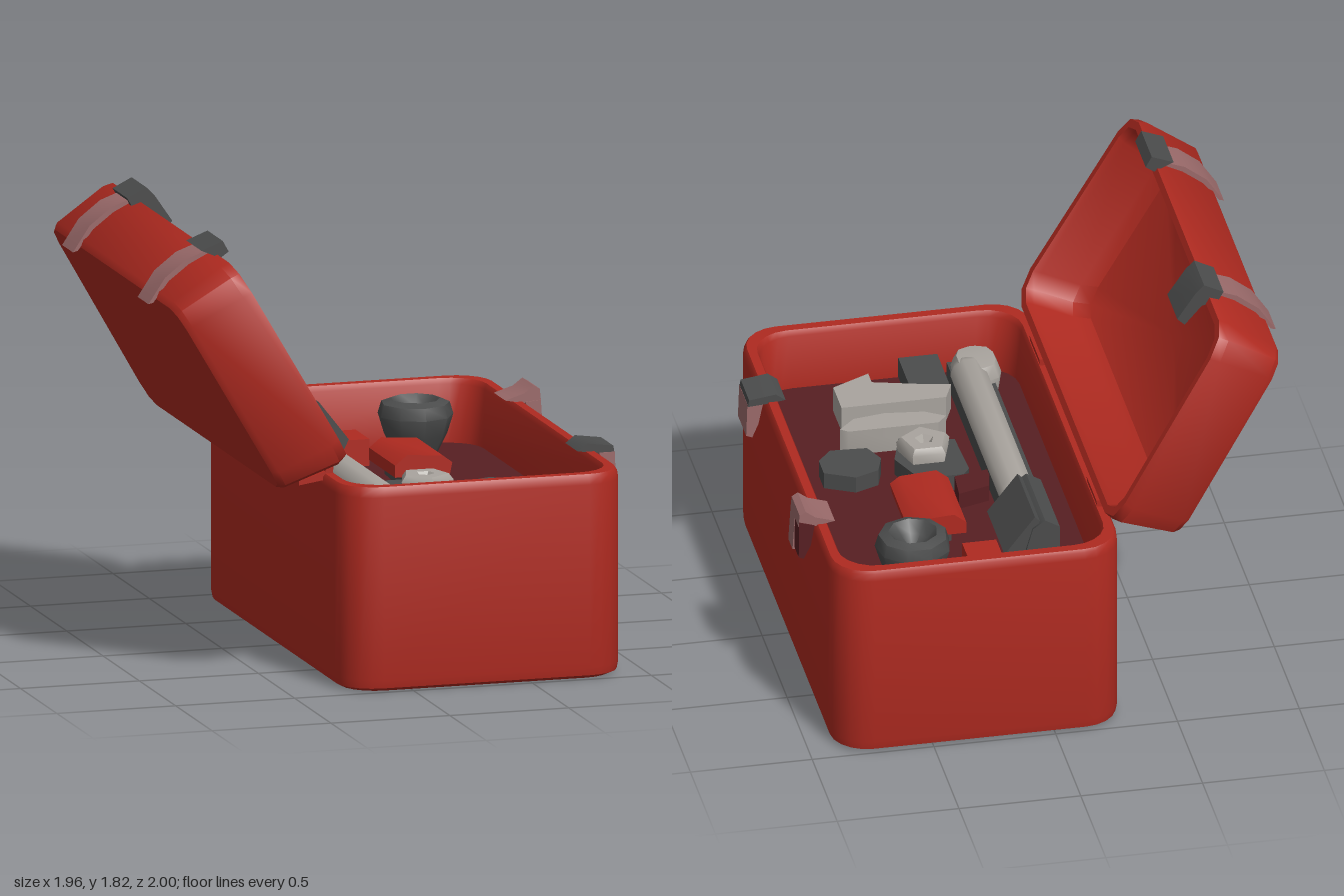
import * as THREE from 'three';
import { toCreasedNormals, mergeVertices } from 'three/addons/utils/BufferGeometryUtils.js';

const mat = (name, color) => {
  const m = new THREE.MeshStandardMaterial({ color });
  m.name = name;
  return m;
};

export function createModel() {
  const root = new THREE.Group();
  root.name = 'openToolbox';
  const red = mat('red', 0xaf2a20), maroon = mat('maroon', 0x571f22), pink = mat('dustyPink', 0x9a6a6a);
  const dark = mat('darkGrey', 0x4b4c4c), light = mat('lightGrey', 0xa9a49e);

  const add = (name, geo, material, pos = [0, 0, 0], rot = [0, 0, 0]) => {
    const m = new THREE.Mesh(toCreasedNormals(geo, 0.8), material);
    m.name = name;
    m.position.set(...pos);
    m.rotation.set(...rot);
    root.add(m);
  };

  // Skin over rounded rectangles: each ring is [width, length, radius, y, xShift]; taper widens z along x
  const loft = (rings, seg, taper = 0) => {
    const pos = [], idx = [], n = 4 * (seg + 1);
    for (const [w, l, r, y, shift = 0] of rings) {
      for (let c = 0; c < 4; c++) {
        const sx = c === 0 || c === 3 ? 1 : -1, sz = c < 2 ? 1 : -1;
        for (let k = 0; k <= seg; k++) {
          const t = (c + k / seg) * Math.PI / 2;
          const x = shift + sx * (w / 2 - r) + r * Math.cos(t);
          pos.push(x, y, (sz * (l / 2 - r) + r * Math.sin(t)) * (1 + taper * (x - 0.4)));
        }
      }
    }
    for (let i = 0; i < rings.length - 1; i++) {
      for (let j = 0; j < n; j++) {
        const a = i * n + j, b = i * n + (j + 1) % n;
        idx.push(a, a + n, b, b, a + n, b + n);
      }
    }
    const g = new THREE.BufferGeometry();
    g.setAttribute('position', new THREE.Float32BufferAttribute(pos, 3));
    g.setIndex(idx);
    return g;
  };

  // Side profile in x,y pulled along z
  const profile = (pts, z0, z1) => {
    const s = new THREE.Shape(pts.map(p => new THREE.Vector2(...p)));
    return new THREE.ExtrudeGeometry(s, { depth: z1 - z0, bevelEnabled: false }).translate(0, 0, z0);
  };
  // Outline in x,z raised from y0 to y1
  const slab = (pts, y0, y1) => {
    const s = new THREE.Shape(pts.map(([x, z]) => new THREE.Vector2(x, -z)));
    return new THREE.ExtrudeGeometry(s, { depth: y1 - y0, bevelEnabled: false }).rotateX(-Math.PI / 2).translate(0, y0, 0);
  };
  const box = (x0, x1, y0, y1, z0, z1) =>
    new THREE.BoxGeometry(x1 - x0, y1 - y0, z1 - z0).translate((x0 + x1) / 2, (y0 + y1) / 2, (z0 + z1) / 2);
  const turned = (pts, sides) =>
    mergeVertices(new THREE.LatheGeometry(pts.map(p => new THREE.Vector2(...p)), sides));

  // Box body with rolled rim
  const cx = 0.31, floorY = 0.58;
  add('boxBody', loft([
    [0, 0, 0, 0], [1.12, 1.93, 0.14, 0], [1.17, 1.985, 0.15, 0.015], [1.185, 2, 0.16, 0.05],
    [1.185, 2, 0.16, 0.8], [1.178, 1.99, 0.16, 0.83], [1.16, 1.975, 0.15, 0.842],
    [1.09, 1.895, 0.15, 0.842], [1.07, 1.87, 0.15, 0.82], [1.055, 1.86, 0.15, floorY],
  ], 5), red, [cx, 0, 0]);
  add('boxFloor', loft([[1.065, 1.87, 0.15, floorY], [0, 0, 0, floorY]], 3), maroon, [cx, 0, 0]);

  // Open lid, leaning back, a thin-walled shell with a deep hollow
  add('lid', loft([
    [0, 0, 0, -0.3, -0.02], [0.87, 1.82, 0.09, -0.3, -0.02], [0.91, 1.85, 0.1, -0.275, -0.02],
    [0.965, 1.92, 0.12, -0.04, -0.01], [0.95, 1.9, 0.12, 0, -0.01], [0.89, 1.83, 0.1, 0, -0.01],
    [0.87, 1.81, 0.1, -0.03, -0.01], [0.82, 1.74, 0.1, -0.19, -0.015], [0.74, 1.65, 0.1, -0.24, -0.015], [0, 0, 0, -0.255, -0.015],
  ], 2, 0.04), red, [-0.46, 1.335, -0.04], [0, 0, -Math.PI / 3]);

  // Hinges: thin bent brackets
  for (const z of [-0.57, 0.57]) {
    add('hinge', profile([[-0.38, 0.8], [-0.28, 0.815], [-0.24, 0.83], [-0.235, 0.87], [-0.265, 0.87], [-0.27, 0.85],
      [-0.35, 0.825], [-0.36, 0.85], [-0.38, 0.84]], z - 0.1, z + 0.1), red);
  }

  // Lid clasps: thin bent strap and metal catch
  const strap = [[-0.98, 1.56], [-0.91, 1.665], [-0.82, 1.735], [-0.74, 1.765], [-0.73, 1.755], [-0.81, 1.715], [-0.895, 1.65], [-0.96, 1.565]];
  add('lidStrap', profile(strap, -0.63, -0.48), pink);
  add('lidStrap', profile(strap, 0.41, 0.56), pink);
  add('lidCatch', profile([[-0.76, 1.775], [-0.68, 1.815], [-0.645, 1.78], [-0.57, 1.67], [-0.6, 1.64], [-0.67, 1.72], [-0.74, 1.74]],
    -0.655, -0.455), dark);
  add('lidCatch', profile([[-0.77, 1.775], [-0.68, 1.81], [-0.655, 1.765], [-0.69, 1.74]], 0.39, 0.6), dark);

  // Box clasps
  add('boxCatchPlate', profile([[0.82, 0.845], [0.86, 0.875], [0.97, 0.86], [0.975, 0.83], [0.9, 0.835]], 0.405, 0.575), dark);
  add('boxClaspFlap', profile([[0.91, 0.835], [0.975, 0.835], [0.98, 0.69], [0.955, 0.68], [0.93, 0.74]], 0.415, 0.58), pink);
  add('boxClaspTop', profile([[0.82, 0.85], [0.9, 0.875], [0.94, 0.905], [0.965, 0.89], [0.97, 0.84], [0.9, 0.835]], -0.58, -0.42), pink);
  add('boxClaspFlap', profile([[0.905, 0.84], [0.968, 0.845], [0.978, 0.69], [0.955, 0.69], [0.92, 0.75]], -0.5, -0.415), pink);
  add('boxClaspLatch', profile([[0.905, 0.84], [0.968, 0.86], [0.97, 0.7], [0.95, 0.69], [0.92, 0.75]], -0.585, -0.5), maroon);

  // Long bar tool with a dark rail beside it and a chunky head
  add('barTool', new THREE.CapsuleGeometry(0.075, 0.96, 4, 10), light, [0.005, 0.69, 0.23], [Math.PI / 2, 0, 0]);
  add('barRail', box(-0.09, 0.07, floorY, 0.68, -0.25, 0.84), dark);
  add('barHead', loft([[0.17, 0.2, 0.06, 0.62], [0.19, 0.23, 0.07, 0.7], [0.15, 0.18, 0.06, 0.75], [0, 0, 0, 0.76]], 2),
    light, [-0.03, 0, 0.74]);

  // Dark case with a leaning cover plate
  add('darkCase', profile([[-0.06, floorY], [-0.06, 0.84], [0, 0.875], [0.05, 0.84], [0.09, 0.7], [0.09, floorY]], -0.79, -0.41), dark);
  add('leaningPlate', profile([[0.02, 0.87], [0.04, 0.89], [0.165, 0.73], [0.14, 0.68], [0.08, 0.7]], -0.78, -0.43), dark);

  // Red parts
  add('smallRedBlock', box(0.16, 0.3, floorY, 0.69, -0.78, -0.59), red);
  add('redBlock', profile([[0.25, 0.64], [0.25, 0.69], [0.3, 0.73], [0.45, 0.72], [0.49, 0.69], [0.48, 0.64]], -0.43, -0.07), red);
  add('redBlockBase', box(0.3, 0.45, floorY, 0.64, -0.38, -0.12), dark);
  add('maroonShard', slab([[0.06, 0.03], [0.09, -0.1], [0.22, -0.14], [0.21, 0]], floorY, 0.65), maroon);

  // Tapered tape roll
  add('tapeRoll', turned([[0.08, floorY], [0.13, 0.68], [0.155, 0.76], [0.14, 0.81], [0.1, 0.825], [0.06, 0.78], [0, 0.73]], 9),
    dark, [0.52, 0, -0.68]);

  // Nut resting on a dark plate
  add('nutPlate', slab([[0.14, 0.05], [0.17, 0.01], [0.35, 0.01], [0.42, 0.18], [0.37, 0.34], [0.15, 0.29]], floorY, 0.65), dark);
  add('nut', turned([[0.105, 0.62], [0.115, 0.69], [0.095, 0.715], [0.04, 0.715], [0, 0.67]], 5), light, [0.29, 0, 0.21]);

  // Loose pieces
  add('darkDisc', slab([[0.47, 0.2], [0.5, 0.11], [0.6, 0.07], [0.72, 0.13], [0.72, 0.23], [0.66, 0.3], [0.51, 0.29]], floorY, 0.65), dark);
  add('crescentPiece', slab([[0.16, 0.41], [0.2, 0.365], [0.57, 0.365], [0.6, 0.39], [0.53, 0.46], [0.4, 0.48], [0.24, 0.46]], floorY, 0.69), light);
  add('wedgePiece', slab([[0.09, 0.65], [0.13, 0.555], [0.56, 0.555], [0.56, 0.72], [0.4, 0.8], [0.4, 0.73], [0.22, 0.68]], floorY, 0.69), light);
  add('darkBlock', box(0.09, 0.25, floorY, 0.67, 0.69, 0.93), dark);

  return root;
}
